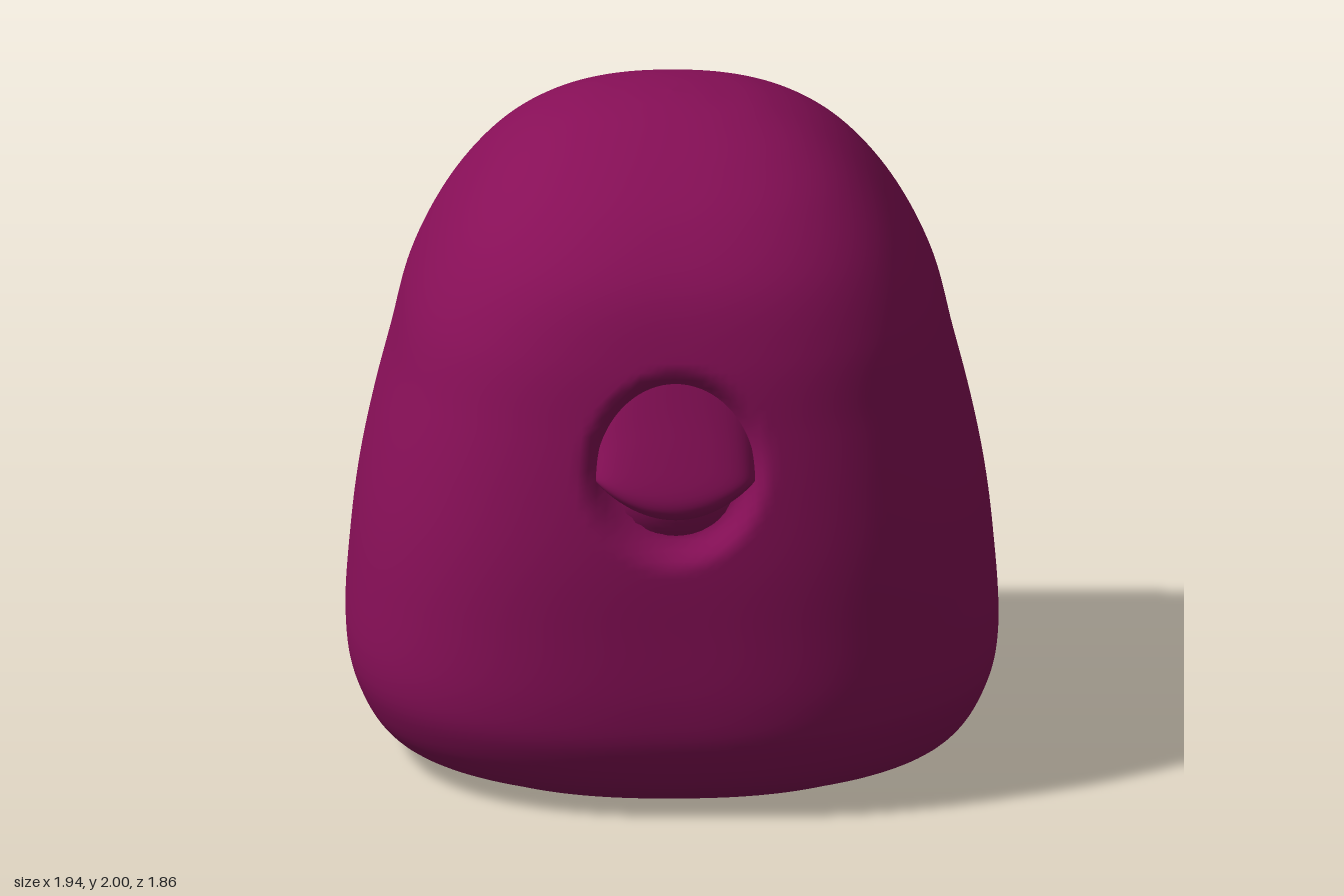
import * as THREE from 'three';

const plum = new THREE.MeshStandardMaterial({ color: 0x870f57 });
plum.name = 'plum';

// Body outline: height, half width, front depth, back depth, corner squareness
const PROFILE = [
  [0.00, 0.70, 0.66, 0.62, 2.3],
  [0.08, 0.86, 0.82, 0.80, 2.45],
  [0.21, 0.94, 0.90, 0.87, 2.6],
  [0.36, 0.97, 0.925, 0.91, 2.7],
  [0.60, 0.955, 0.925, 0.925, 2.75],
  [0.80, 0.93, 0.92, 0.92, 2.75],
  [1.00, 0.89, 0.90, 0.90, 2.75],
  [1.20, 0.84, 0.87, 0.87, 2.75],
  [1.42, 0.785, 0.83, 0.82, 2.7],
  [1.62, 0.69, 0.755, 0.76, 2.6],
  [1.78, 0.57, 0.61, 0.65, 2.5],
  [1.89, 0.44, 0.43, 0.49, 2.4],
  [1.96, 0.29, 0.25, 0.31, 2.3],
  [1.99, 0.14, 0.12, 0.16, 2.1],
  [2.00, 0.00, 0.00, 0.00, 2.0],
];
const SIDES = 192;
const ROWS = (PROFILE.length - 1) * 8;

// Joins a grid of points into a smooth surface
function gridGeometry(points, columns, index) {
  const geometry = new THREE.BufferGeometry();
  geometry.setAttribute('position', new THREE.Float32BufferAttribute(points, 3));
  geometry.setIndex(index);
  geometry.computeVertexNormals();
  return geometry;
}

function addMesh(group, name, geometry) {
  const mesh = new THREE.Mesh(geometry, plum);
  mesh.name = name;
  group.add(mesh);
  return mesh;
}

// Rounded-square rings stacked up the profile, with a socket pressed into the front
function bodyPoints() {
  const spline = (pick) => new THREE.CatmullRomCurve3(
    PROFILE.map(pick), false, 'catmullrom', 0.5);
  const frontCurve = spline(([y, w, f]) => new THREE.Vector3(w, y, f));
  const backCurve = spline(([y, , , b, n]) => new THREE.Vector3(b, y, n));
  const points = [];
  for (let r = 0; r <= ROWS; r++) {
    const front = frontCurve.getPoint(r / ROWS);
    const back = backCurve.getPoint(r / ROWS);
    const y = front.y;
    const n = back.z;
    for (let i = 0; i < SIDES; i++) {
      const angle = (i / SIDES) * Math.PI * 2;
      const c = Math.cos(angle);
      const s = Math.sin(angle);
      const radius = Math.pow(Math.abs(c) ** n + Math.abs(s) ** n, -1 / n);
      const x = c * radius * front.x;
      let z = s * radius * (s > 0 ? front.z : back.x);
      if (z > 0) {
        const d = Math.hypot(x / 0.93, y - 1.10);
        z -= 0.07 * (1 - THREE.MathUtils.smoothstep(d, 0.21, 0.30));
      }
      points.push(x, y, z);
    }
  }
  return points;
}

function bodyGeometry(points) {
  const index = [];
  for (let r = 0; r < ROWS; r++) {
    for (let i = 0; i < SIDES; i++) {
      const a = r * SIDES + i;
      const b = r * SIDES + (i + 1) % SIDES;
      const c = a + SIDES;
      const d = b + SIDES;
      index.push(a, c, b, b, c, d);
    }
  }
  return gridGeometry(points, SIDES, index);
}

// Flat underside following the lowest ring
function baseGeometry(points) {
  const outline = [];
  for (let i = 0; i < SIDES; i++) {
    outline.push(new THREE.Vector2(points[i * 3], points[i * 3 + 2]));
  }
  return new THREE.ShapeGeometry(new THREE.Shape(outline)).rotateX(Math.PI / 2);
}

// Bulging hood with a curved lower lip that tucks back under itself
function eyelidGeometry() {
  // fraction of the way down, forward bulge
  const section = new THREE.SplineCurve([
    [0, 0], [0.25, 0.037], [0.5, 0.076], [0.75, 0.112],
    [0.88, 0.12], [0.96, 0.107], [1, 0.075], [0.97, 0.0],
  ].map(([s, z]) => new THREE.Vector2(s, z)));
  const columns = 40;
  const rows = 28;
  const points = [];
  const index = [];
  for (let r = 0; r <= rows; r++) {
    const p = section.getPoint(r / rows);
    for (let i = 0; i <= columns; i++) {
      const phi = (i / columns - 0.5) * Math.PI;
      const u = Math.sin(phi);
      const top = 1.06 + 0.29 * Math.cos(phi);
      const lip = 1.06 - 0.11 * (1 - u * u);
      points.push(
        0.24 * u,
        THREE.MathUtils.lerp(top, lip, p.x),
        0.81 + 0.02 * u * u + p.y * Math.cos(phi));
      if (r < rows && i < columns) {
        const a = r * (columns + 1) + i;
        const c = a + columns + 1;
        index.push(a, c, a + 1, a + 1, c, c + 1);
      }
    }
  }
  return gridGeometry(points, columns + 1, index);
}

export function createModel() {
  const model = new THREE.Group();
  model.name = 'oneEyedCreature';

  const points = bodyPoints();
  addMesh(model, 'body', bodyGeometry(points));
  addMesh(model, 'base', baseGeometry(points));

  // Eye
  const eye = new THREE.Group();
  eye.name = 'eye';
  const ball = addMesh(eye, 'eyeball', new THREE.SphereGeometry(1, 40, 28));
  ball.scale.set(0.22, 0.2, 0.15);
  ball.position.set(0, 1.02, 0.735);
  addMesh(eye, 'eyelid', eyelidGeometry());
  model.add(eye);

  return model;
}
